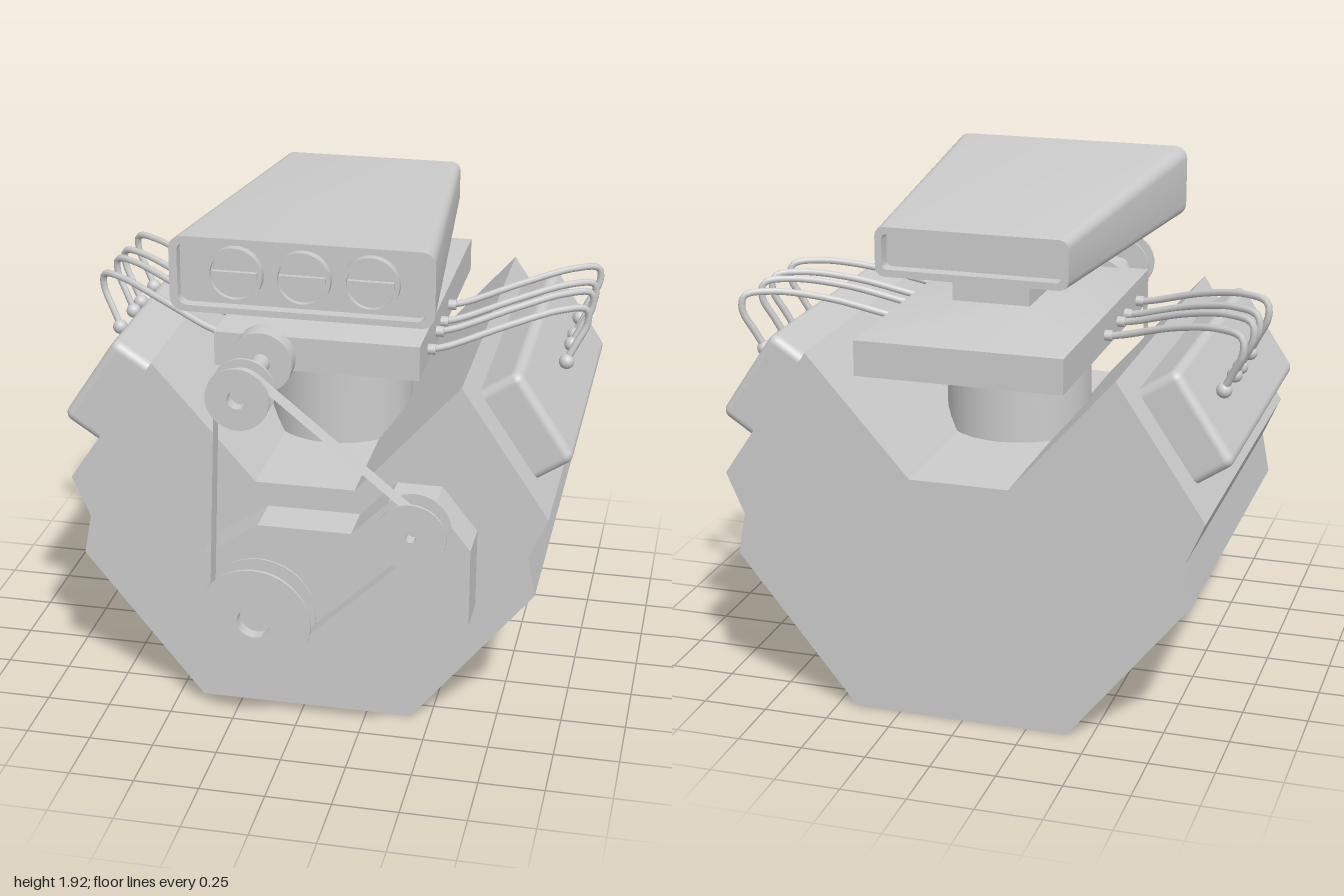
import * as THREE from 'three';
import { toCreasedNormals } from 'three/addons/utils/BufferGeometryUtils.js';
import { RoundedBoxGeometry } from 'three/addons/geometries/RoundedBoxGeometry.js';

const grey = new THREE.MeshStandardMaterial({ color: 0xcccccc });
const greyDouble = new THREE.MeshStandardMaterial({ color: 0xcccccc, side: THREE.DoubleSide });

function add(parent, name, geometry, x = 0, y = 0, z = 0, material = grey) {
  const mesh = new THREE.Mesh(geometry, material);
  mesh.name = name;
  mesh.position.set(x, y, z);
  parent.add(mesh);
  return mesh;
}

// Straight prism between two z values from an outline
function prism(points, z0, z1) {
  const shape = new THREE.Shape(points.map(([x, y]) => new THREE.Vector2(x, y)));
  return new THREE.ExtrudeGeometry(shape, { depth: z1 - z0, bevelEnabled: false }).translate(0, 0, z0);
}

// Turned part with its axis along z, profile given as [radius, z]
function turned(profile, segments = 40) {
  const pts = profile.map(([r, z]) => new THREE.Vector2(r, z));
  return toCreasedNormals(new THREE.LatheGeometry(pts, segments).rotateX(Math.PI / 2), 0.6);
}

// Skin over rounded rectangles [z, centreY, halfWidth, halfHeight, cornerRadius], high z first
function loft(sections) {
  const rings = sections.map(([z, cy, w, h, r]) => {
    const ring = [];
    [[1, 1], [-1, 1], [-1, -1], [1, -1]].forEach(([sx, sy], q) => {
      for (let k = 0; k <= 5; k++) {
        const a = (q + k / 5) * Math.PI / 2;
        ring.push([sx * (w - r) + r * Math.cos(a), cy + sy * (h - r) + r * Math.sin(a), z]);
      }
    });
    return ring;
  });
  const pos = [];
  for (let i = 0; i + 1 < rings.length; i++) {
    const n = rings[i].length;
    for (let j = 0; j < n; j++) {
      const k = (j + 1) % n;
      const a = rings[i][j], b = rings[i][k], c = rings[i + 1][k], d = rings[i + 1][j];
      pos.push(...a, ...d, ...b, ...b, ...d, ...c);
    }
  }
  const g = new THREE.BufferGeometry();
  g.setAttribute('position', new THREE.Float32BufferAttribute(pos, 3));
  return toCreasedNormals(g, 0.5);
}

// Stacked rectangles [y, halfWidth, halfDepth, centreZ], top first, closed at both ends
function stack(levels) {
  const s = levels.map(([y, w, d, cz]) => [y, -cz, w, d, 0]);
  const cap = ([z, cy]) => [z, cy, 0, 0, 0];
  return loft([cap(s[0]), ...s, cap(s[s.length - 1])]).rotateX(-Math.PI / 2);
}

// Belt ribbon round pulleys listed counter-clockwise
function beltGeometry(pulleys, width) {
  const n = pulleys.length;
  const leave = pulleys.map((a, i) => {
    const b = pulleys[(i + 1) % n], dx = b.x - a.x, dy = b.y - a.y;
    return Math.atan2(dy, dx) - Math.acos((a.hub - b.hub) / Math.hypot(dx, dy));
  });
  const path = [];
  pulleys.forEach((p, i) => {
    const start = leave[(i + n - 1) % n];
    const sweep = THREE.MathUtils.euclideanModulo(leave[i] - start, 2 * Math.PI);
    for (let k = 0; k <= 14; k++) {
      const t = start + sweep * k / 14;
      path.push([p.x + p.hub * Math.cos(t), p.y + p.hub * Math.sin(t), (p.z0 + p.z1) / 2]);
    }
  });
  const pos = [], idx = [], m = path.length;
  path.forEach(([x, y, z], i) => {
    pos.push(x, y, z - width / 2, x, y, z + width / 2);
    const a = 2 * i, b = 2 * ((i + 1) % m);
    idx.push(a, b, a + 1, a + 1, b, b + 1);
  });
  const g = new THREE.BufferGeometry();
  g.setAttribute('position', new THREE.Float32BufferAttribute(pos, 3));
  g.setIndex(idx);
  g.computeVertexNormals();
  return g;
}

export function createModel() {
  const root = new THREE.Group();
  root.name = 'engine';
  const body = new THREE.Group();
  body.name = 'engineBody';
  body.position.x = 0.008;
  root.add(body);

  // V-shaped block
  const half = [[0.415, 0], [0.88, 0.58], [0.85, 0.74], [0.92, 0.9], [0.585, 1.4], [0.19, 0.95]];
  const mirrored = half.map(([x, y]) => [-x, y]).reverse();
  add(body, 'block', prism([...half, ...mirrored], -0.87, 0.59));

  // Timing cover on the front
  add(root, 'timingCover', prism([[-0.29, 0.19], [0.37, 0.19], [0.665, 0.52], [0.665, 0.83], [0.53, 1],
    [0.36, 1], [0.22, 0.855], [-0.135, 0.855], [-0.35, 0.71], [-0.4, 0.5]], 0.58, 0.76));

  // Pedestal in the valley, manifold and neck
  add(body, 'pedestal', new THREE.CylinderGeometry(0.283, 0.283, 0.36, 40), 0, 1.115, -0.1);
  add(body, 'pedestalCollar', new THREE.CylinderGeometry(0.21, 0.21, 0.06, 40), 0, 1.315, -0.1);
  add(body, 'manifold', stack([[1.525, 0.15, 0.228, -0.238], [1.465, 0.395, 0.63, -0.24],
    [1.33, 0.395, 0.63, -0.24]]));
  add(body, 'neck', new THREE.BoxGeometry(0.3, 0.12, 0.455), 0, 1.57, -0.238);

  // Flared flange under the scoop, narrowing to the rear
  const flange = stack([[1.66, 0.4, 0.63, -0.06], [1.62, 0.15, 0.228, -0.238]]);
  const fp = flange.attributes.position;
  for (let i = 0; i < fp.count; i++) {
    if (fp.getY(i) > 1.64) fp.setX(i, fp.getX(i) * (1 + 0.15 * (fp.getZ(i) + 0.04)));
  }
  flange.computeVertexNormals();
  add(body, 'scoopFlange', flange);

  // Air scoop, recessed at both ends
  add(body, 'scoop', loft([
    [0.59, 1.78, 0, 0, 0], [0.59, 1.78, 0.46, 0.12, 0.035], [0.635, 1.78, 0.46, 0.12, 0.035],
    [0.635, 1.78, 0.49, 0.144, 0.05], [-0.705, 1.757, 0.366, 0.093, 0.035],
    [-0.705, 1.757, 0.34, 0.066, 0.02], [-0.65, 1.757, 0.34, 0.066, 0.02], [-0.65, 1.757, 0, 0, 0]]));
  for (const x of [-0.252, 0, 0.252]) {
    const intake = new THREE.Group();
    intake.name = 'intake';
    intake.position.set(x, 1.78, 0.588);
    body.add(intake);
    add(intake, 'intakeRing', turned([[0, 0], [0.105, 0], [0.105, 0.035], [0.09, 0.035], [0.09, 0.015], [0, 0.015]]));
    add(intake, 'intakeBar', new THREE.BoxGeometry(0.17, 0.026, 0.025), 0, 0, 0.02);
  }

  // Pulleys with flanges and a bored centre
  const pulleys = [
    { name: 'crankPulley', x: -0.13, y: 0.5, r: 0.217, hub: 0.172, bore: 0.064, z0: 0.755, z1: 0.865 },
    { name: 'idlerPulley', x: 0.46, y: 0.915, r: 0.13, hub: 0.06, bore: 0.02, z0: 0.755, z1: 0.865 },
    { name: 'blowerPulley', x: -0.19, y: 1.38, r: 0.12, hub: 0.09, bore: 0.037, z0: 0.71, z1: 0.82 },
  ];
  for (const { name, x, y, r, hub, bore, z0, z1 } of pulleys) {
    const t = 0.012;
    add(root, name, turned([[0, z0], [r, z0], [r, z0 + t], [hub - 0.005, z0 + t], [hub - 0.005, z1 - t],
      [r, z1 - t], [r, z1], [bore, z1], [bore, z1 - 0.05], [0, z1 - 0.05]]), x, y);
  }
  add(root, 'belt', beltGeometry(pulleys, 0.075), 0, 0, 0, greyDouble);

  // Blower drive shaft and its mounting disc
  add(root, 'driveShaft', new THREE.CylinderGeometry(0.037, 0.037, 0.3, 24).rotateX(Math.PI / 2), -0.19, 1.38, 0.58);
  add(root, 'shaftDisc', new THREE.CylinderGeometry(0.12, 0.12, 0.1, 40).rotateX(Math.PI / 2), -0.19, 1.38, 0.41);

  // Valve covers and plug leads on both banks
  const leads = [[-0.03, 0.2], [-0.215, 0.01], [-0.32, -0.1], [-0.51, -0.29]];
  for (const s of [1, -1]) {
    const cover = add(body, 'valveCover', new RoundedBoxGeometry(0.25, 0.405, 1.19, 3, 0.035),
      s * 0.78, 1.184, -0.145);
    cover.rotation.z = s * 0.585;
    for (const [plugZ, rootZ] of leads) {
      const mix = (t) => rootZ + (plugZ - 0.035 - rootZ) * t;
      const curve = new THREE.CatmullRomCurve3([
        [0.38, 1.38, rootZ], [0.46, 1.395, mix(0.05)], [0.68, 1.465, mix(0.36)], [0.87, 1.505, mix(0.75)],
        [0.965, 1.495, mix(0.97)], [0.972, 1.44, plugZ - 0.035], [0.93, 1.35, plugZ - 0.015], [0.895, 1.28, plugZ],
      ].map(([x, y, z]) => new THREE.Vector3(s * x, y, z)));
      add(body, 'plugLead', new THREE.TubeGeometry(curve, 40, 0.014, 8));
      add(body, 'plugCap', new THREE.SphereGeometry(0.03, 14, 10), s * 0.9, 1.285, plugZ);
      add(body, 'leadSocket', new THREE.CylinderGeometry(0.021, 0.021, 0.04, 12).rotateZ(Math.PI / 2),
        s * 0.405, 1.385, rootZ);
    }
  }
  return root;
}
